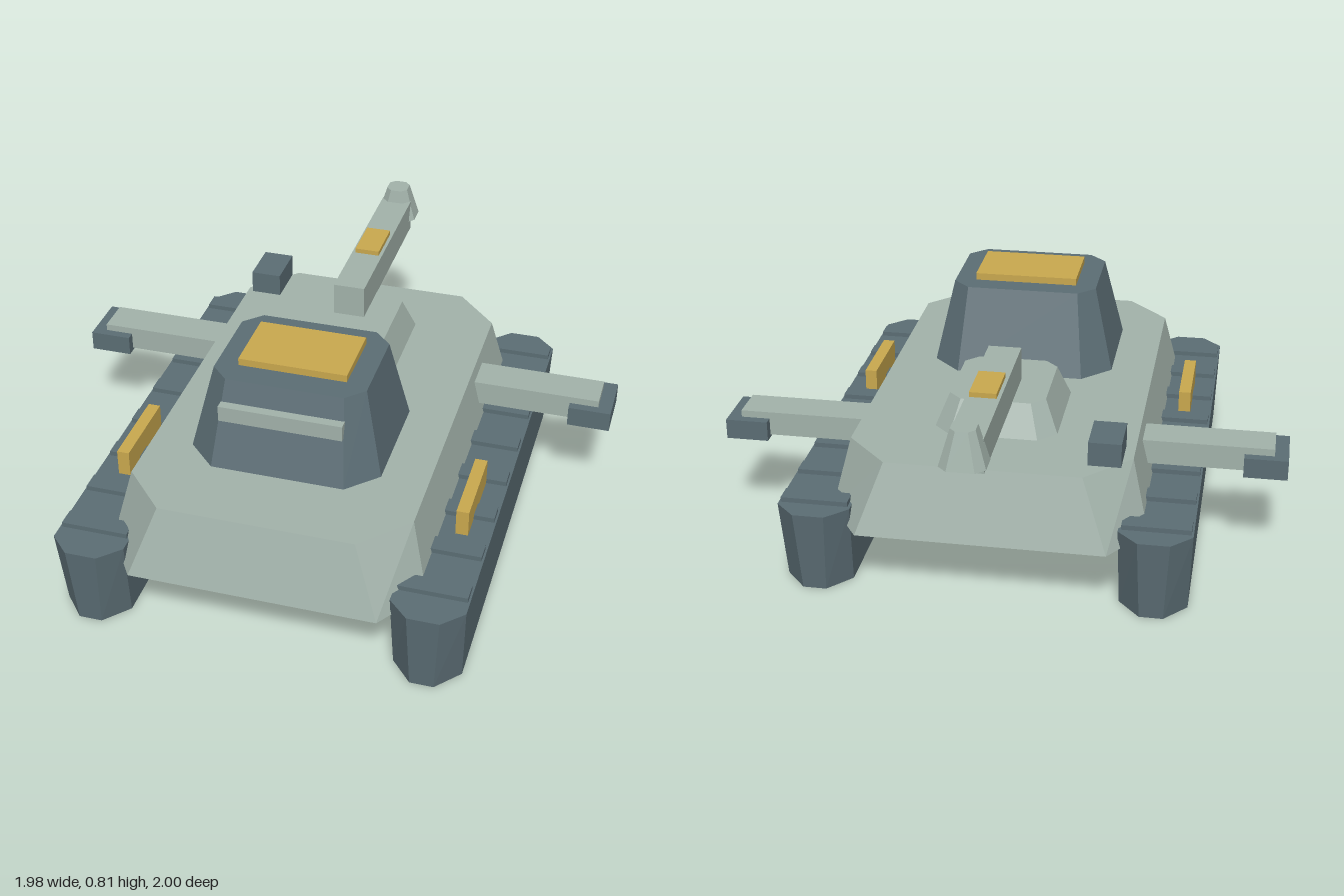
import * as THREE from 'three';

const material = (name, color) => {
  const m = new THREE.MeshStandardMaterial({ color });
  m.name = name;
  return m;
};

// Octagon outline from a rectangle with cut corners
function outline({ x0, x1, z0, z1, cx, cz = cx, y }) {
  return [
    [x0 + cx, z0], [x0, z0 + cz], [x0, z1 - cz], [x0 + cx, z1],
    [x1 - cx, z1], [x1, z1 - cz], [x1, z0 + cz], [x1 - cx, z0],
  ].map(([x, z]) => new THREE.Vector3(x, y, z));
}

// Closed tapered block between two octagon outlines
function taperedBlock(bottom, top) {
  const b = outline(bottom), t = outline(top), points = [];
  for (let i = 0; i < 8; i++) {
    const j = (i + 1) % 8;
    points.push(b[i], b[j], t[j], b[i], t[j], t[i]);
    if (i > 0 && i < 7) points.push(t[0], t[i], t[j], b[0], b[j], b[i]);
  }
  const geometry = new THREE.BufferGeometry().setFromPoints(points);
  geometry.computeVertexNormals();
  return geometry;
}

export function createModel() {
  const model = new THREE.Group();
  model.name = 'tank';
  const light = material('pale green grey', 0xa2b2aa);
  const dark = material('slate', 0x5b6d74);
  const gold = material('gold', 0xc9a84e);

  const add = (name, geometry, mat) => {
    const mesh = new THREE.Mesh(geometry, mat);
    mesh.name = name;
    model.add(mesh);
    return mesh;
  };
  const box = (name, mat, x0, x1, y0, y1, z0, z1) =>
    add(name, new THREE.BoxGeometry(x1 - x0, y1 - y0, z1 - z0), mat)
      .position.set((x0 + x1) / 2, (y0 + y1) / 2, (z0 + z1) / 2);

  // Hull
  add('hull', taperedBlock(
    { x0: -0.54, x1: 0.54, z0: -0.72, z1: 0.98, cx: 0.12, cz: 0.18, y: 0.23 },
    { x0: -0.48, x1: 0.48, z0: -0.65, z1: 0.91, cx: 0.15, cz: 0.16, y: 0.475 }), light);

  // Cabin with roof hatch and vision strip
  add('cabin', taperedBlock(
    { x0: -0.33, x1: 0.325, z0: 0.08, z1: 0.67, cx: 0.1, y: 0.49 },
    { x0: -0.26, x1: 0.26, z0: 0.17, z1: 0.58, cx: 0.06, y: 0.785 }), dark);
  box('roofHatch', gold, -0.185, 0.185, 0.785, 0.81, 0.25, 0.49);
  box('visionStrip', light, -0.21, 0.21, 0.655, 0.71, 0.59, 0.635);

  // Gun mount, barrel and muzzle
  add('gunMount', taperedBlock(
    { x0: -0.21, x1: 0.21, z0: -0.44, z1: 0.02, cx: 0.06, y: 0.49 },
    { x0: -0.165, x1: 0.165, z0: -0.39, z1: -0.03, cx: 0.045, y: 0.602 }), light);
  box('barrel', light, -0.057, 0.057, 0.6, 0.72, -0.91, -0.2);
  box('barrelPlate', gold, -0.045, 0.045, 0.72, 0.737, -0.62, -0.45);
  add('muzzle', taperedBlock(
    { x0: -0.075, x1: 0.075, z0: -1, z1: -0.865, cx: 0.03, y: 0.645 },
    { x0: -0.04, x1: 0.04, z0: -0.97, z1: -0.885, cx: 0.02, y: 0.768 }), light);

  // Deck box
  box('deckBox', dark, -0.45, -0.34, 0.495, 0.578, -0.6, -0.435);

  // Tracks, treads, side lamps and arms on both sides
  for (const [side, s] of [['left', 1], ['right', -1]]) {
    const span = (a, b) => (s > 0 ? [a, b] : [-b, -a]);
    const ring = (a, b, rest) => {
      const [x0, x1] = span(a, b);
      return { x0, x1, ...rest };
    };
    add(side + 'Track', taperedBlock(
      ring(0.457, 0.687, { z0: -0.7, z1: 0.975, cx: 0.075, cz: 0.085, y: 0 }),
      ring(0.45, 0.697, { z0: -0.73, z1: 1, cx: 0.07, cz: 0.07, y: 0.293 })), dark);
    for (let i = 0; i < 8; i++) {
      const z = 0.843 - i * 0.208;
      box(side + 'Tread' + (i + 1), dark, ...span(0.46, 0.69), 0.285, 0.31, z - 0.033, z + 0.033);
    }
    box(side + 'Lamp', gold, ...span(0.577, 0.62), 0.29, 0.387, 0.25, 0.55);
    box(side + 'Arm', light, ...span(0.49, 0.94), 0.35, 0.437, -0.27, -0.137);
    box(side + 'ArmEnd', dark, ...span(0.838, 0.988), 0.34, 0.412, -0.303, -0.105);
  }
  return model;
}
